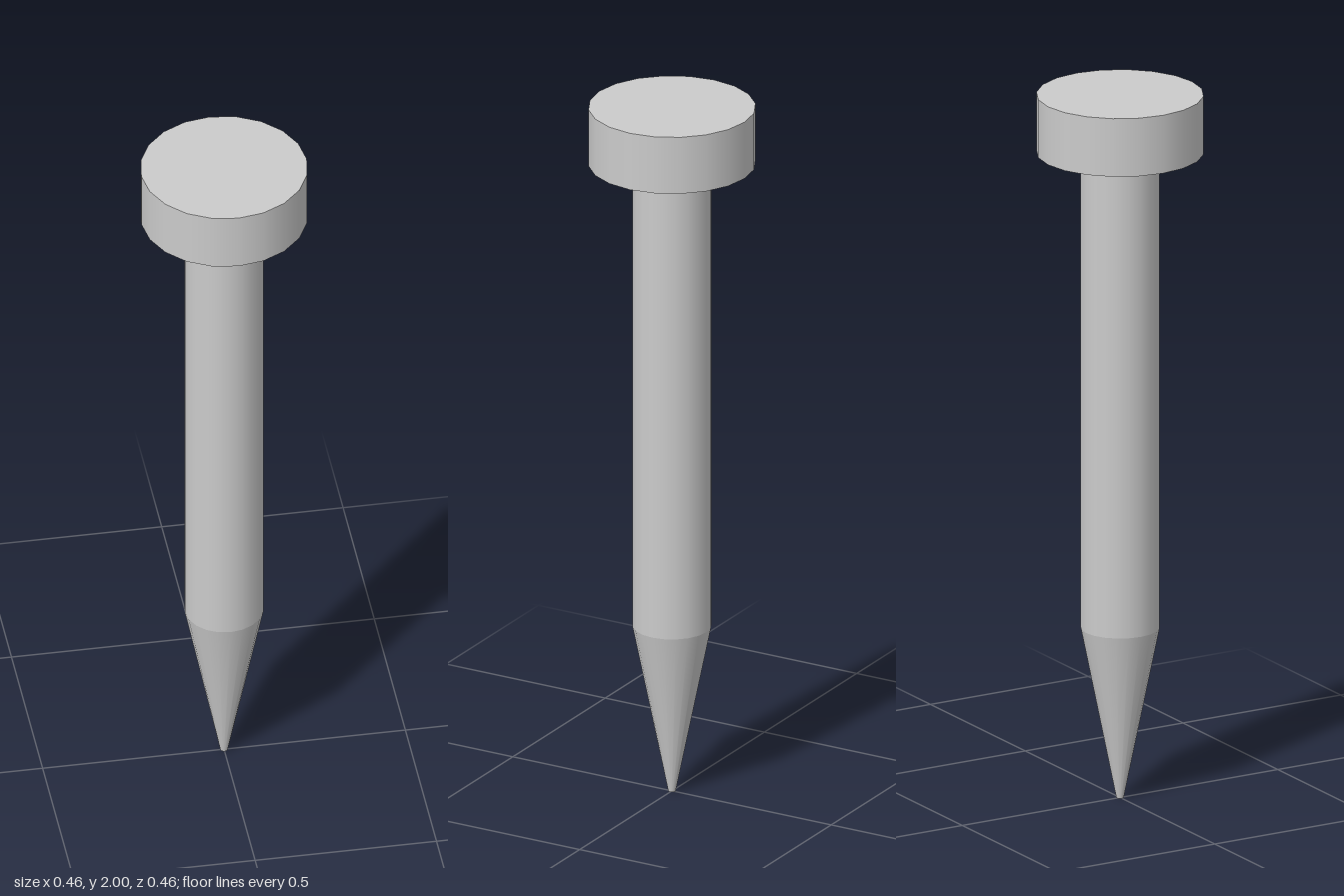
import * as THREE from 'three';

const SIDES = 20;

export function createModel() {
  const group = new THREE.Group();
  const material = new THREE.MeshStandardMaterial({ color: 0xcccccc });

  // Round section between two heights
  const section = (name, topRadius, bottomRadius, bottom, top) => {
    const geometry = new THREE.CylinderGeometry(topRadius, bottomRadius, top - bottom, SIDES);
    const mesh = new THREE.Mesh(geometry, material);
    mesh.name = name;
    mesh.position.y = (bottom + top) / 2;
    group.add(mesh);
  };

  section('head', 0.228, 0.228, 1.835, 2);
  section('shaft', 0.108, 0.108, 0.485, 1.835);
  // Tapered point with a small blunt end
  section('point', 0.108, 0.01, 0, 0.485);

  return group;
}
